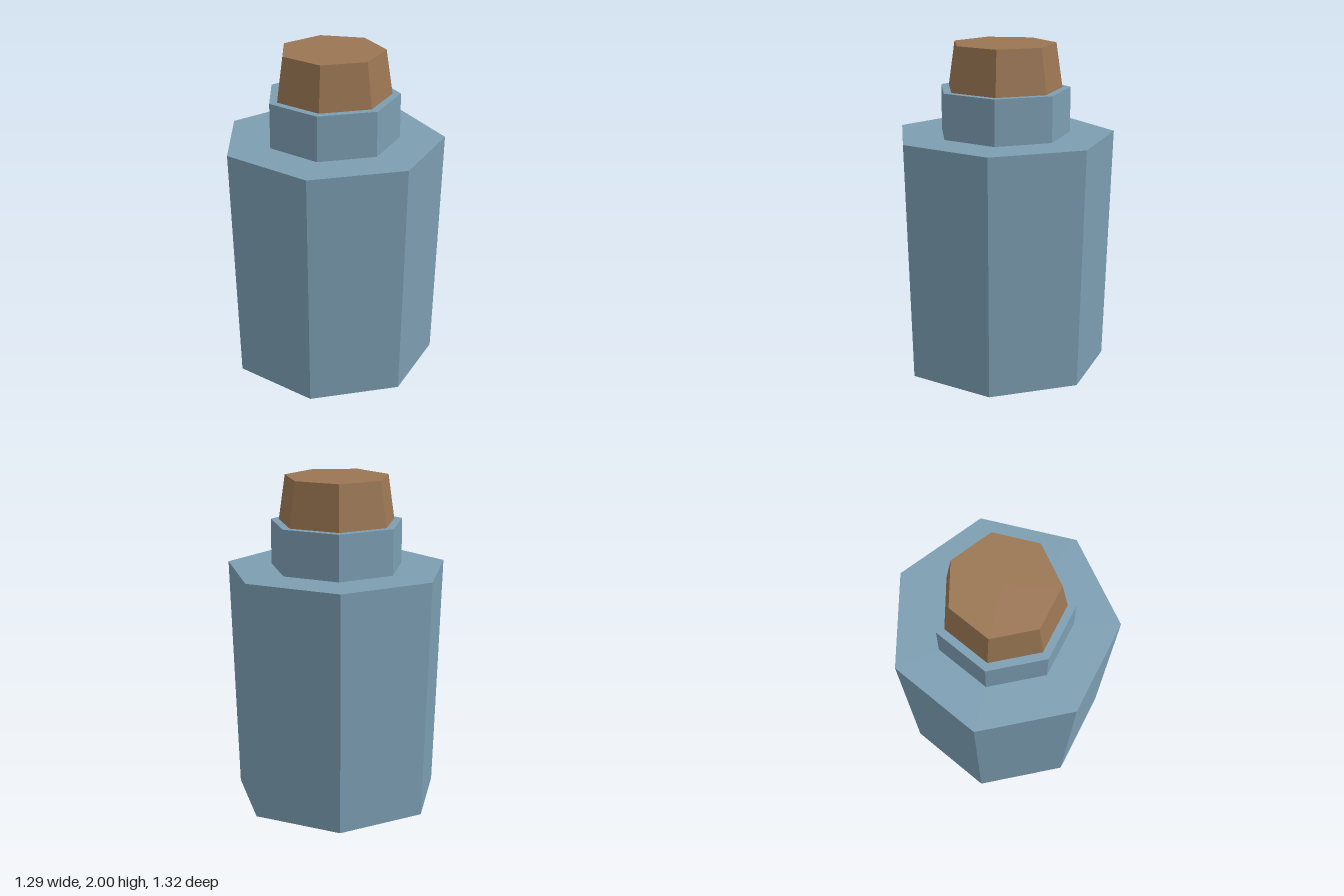
import * as THREE from 'three';

const SIDES = 7;
const CENTRE_X = -0.035; // puts the heptagon's extents evenly around x = 0

export function createModel() {
  const group = new THREE.Group();
  group.name = 'corkedBottle';

  const glass = new THREE.MeshStandardMaterial({ color: 0x7c9eb2, flatShading: true });
  glass.name = 'blue glass';
  const cork = new THREE.MeshStandardMaterial({ color: 0x9a7653, flatShading: true });
  cork.name = 'brown cork';

  // Seven-sided section with one corner pointing to +x
  function section(name, rBottom, rTop, y0, y1, material) {
    const geometry = new THREE.CylinderGeometry(
      rTop, rBottom, y1 - y0, SIDES, 1, false, Math.PI / 2);
    const mesh = new THREE.Mesh(geometry, material);
    mesh.name = name;
    mesh.position.set(CENTRE_X, (y0 + y1) / 2, 0);
    group.add(mesh);
  }

  section('body', 0.637, 0.679, 0, 1.455, glass);
  section('neck', 0.407, 0.407, 1.455, 1.73, glass);
  section('stopper', 0.357, 0.317, 1.73, 2, cork);

  return group;
}
